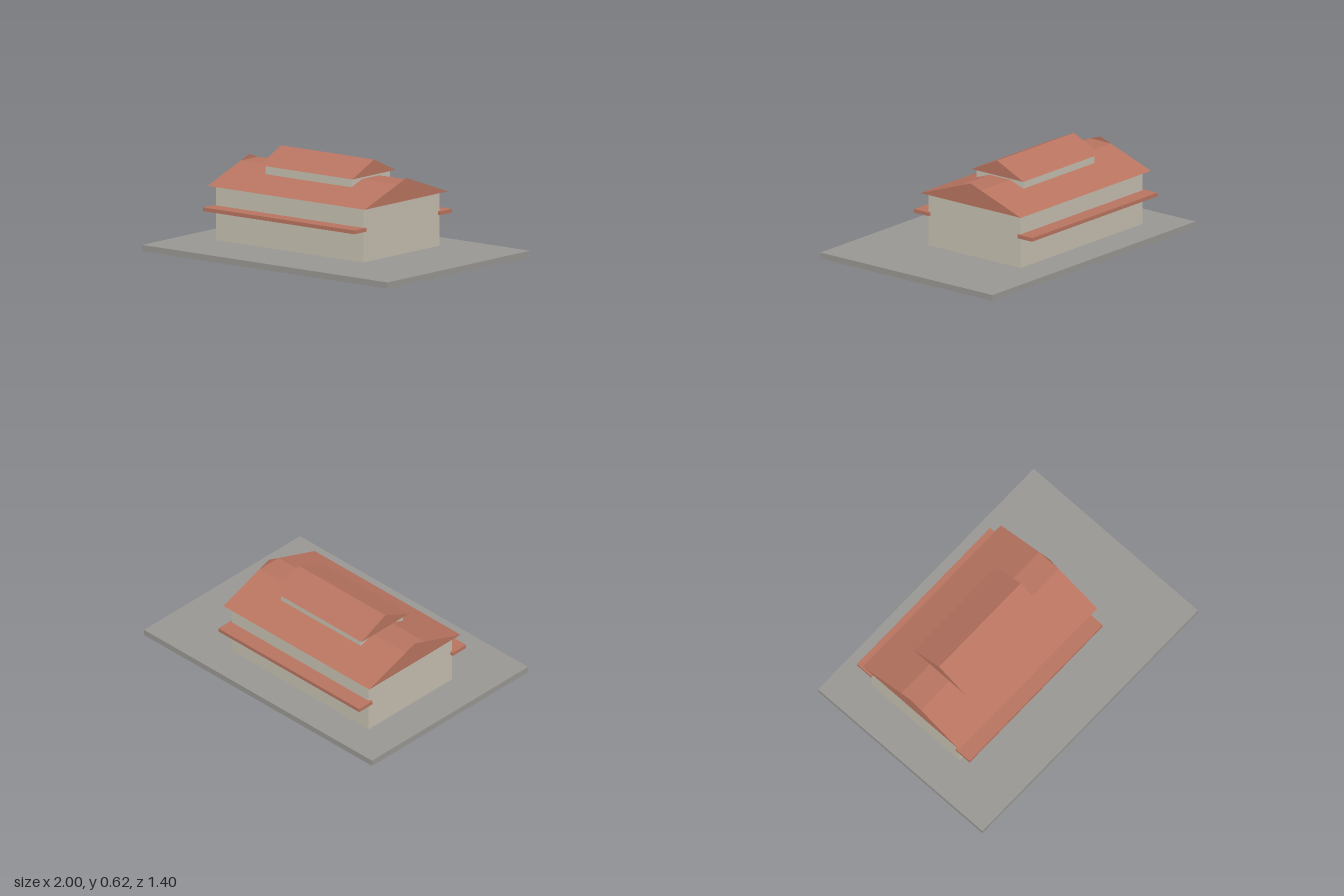
import * as THREE from 'three';

const material = (name, color, side = THREE.FrontSide) => {
  const m = new THREE.MeshStandardMaterial({ color, side });
  m.name = name;
  return m;
};

export function createModel() {
  const model = new THREE.Group();
  model.name = 'hall';
  const stone = material('grey stone', 0x999793);
  const plaster = material('pale plaster', 0xc6bfb0);
  const tile = material('terracotta', 0xb87460, THREE.DoubleSide);

  const add = (name, geometry, mat) => {
    const mesh = new THREE.Mesh(geometry, mat);
    mesh.name = name;
    model.add(mesh);
    return mesh;
  };

  // Box given by its limits on each axis
  const box = (name, [x0, x1], [y0, y1], [z0, z1], mat) => {
    const mesh = add(name, new THREE.BoxGeometry(x1 - x0, y1 - y0, z1 - z0), mat);
    mesh.position.set((x0 + x1) / 2, (y0 + y1) / 2, (z0 + z1) / 2);
  };

  // Cross-section of [z, y] points, running along x
  const section = (points) => new THREE.Shape(points.map(([z, y]) => new THREE.Vector2(-z, y)));
  const prism = (name, [x0, x1], points, mat) => {
    const geometry = new THREE.ExtrudeGeometry(section(points), { depth: x1 - x0, bevelEnabled: false });
    geometry.rotateY(Math.PI / 2).translate(x0, 0, 0);
    add(name, geometry, mat);
  };

  const ridgeZ = -0.1;

  // Ground slab and main walls
  box('groundSlab', [-1, 1], [0, 0.04], [-0.7, 0.7], stone);
  box('mainWalls', [-0.75, 0.45], [0.04, 0.388], [ridgeZ - 0.375, ridgeZ + 0.375], plaster);

  // Long canopies on the front and back walls
  for (const [name, side] of [['frontCanopy', 1], ['backCanopy', -1]]) {
    const z = [ridgeZ + side * 0.36, ridgeZ + side * 0.48].sort((a, b) => a - b);
    box(name, [-0.77, 0.465], [0.237, 0.261], z, tile);
  }

  // Main roof with a flat strip along the top
  const roofX = [-0.79, 0.49];
  const flat = 0.084;
  prism('mainRoof', roofX, [
    [ridgeZ + 0.41, 0.386], [ridgeZ + flat, 0.501],
    [ridgeZ - flat, 0.501], [ridgeZ - 0.41, 0.386],
  ], tile);

  // Thin gable tips standing above the flat strip at both ends
  for (const [name, x] of [['leftGableTip', roofX[1]], ['rightGableTip', roofX[0]]]) {
    const tip = section([[ridgeZ + flat, 0.501], [ridgeZ, 0.531], [ridgeZ - flat, 0.501]]);
    add(name, new THREE.ShapeGeometry(tip).rotateY(Math.PI / 2).translate(x, 0, 0), tile);
  }

  // Raised clerestory and its gabled roof
  box('clerestoryWalls', [-0.5, 0.2], [0.42, 0.522], [ridgeZ - 0.19, ridgeZ + 0.19], plaster);
  prism('clerestoryRoof', [-0.53, 0.227], [
    [ridgeZ + 0.213, 0.52], [ridgeZ, 0.617], [ridgeZ - 0.213, 0.52],
  ], tile);

  return model;
}
